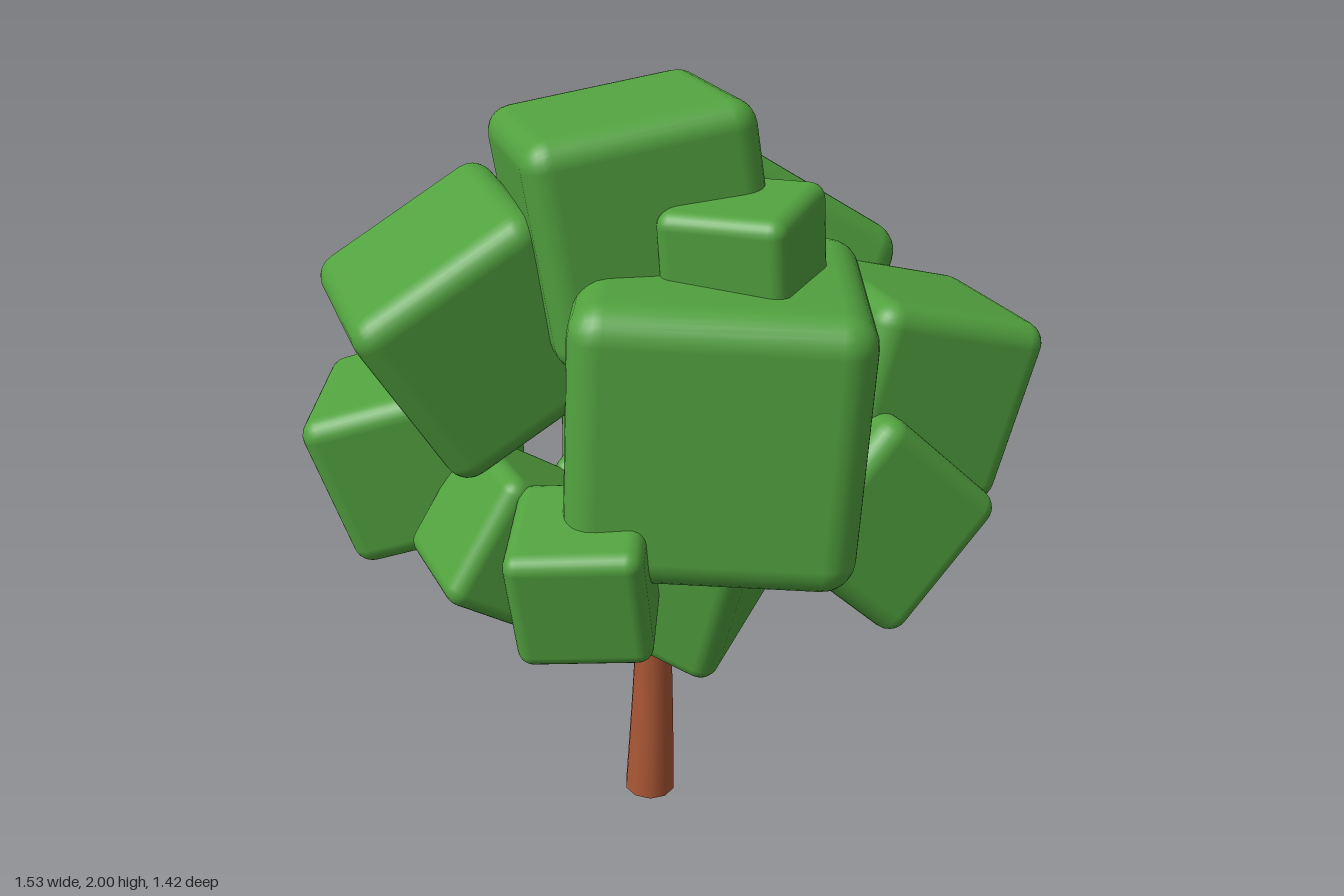
import * as THREE from 'three';
import { RoundedBoxGeometry } from 'three/addons/geometries/RoundedBoxGeometry.js';

const leafGreen = new THREE.MeshStandardMaterial({ color: 0x52a23f });
const barkBrown = new THREE.MeshStandardMaterial({ color: 0xad5836 });
const cutWood = new THREE.MeshStandardMaterial({ color: 0xb0a07c });
leafGreen.name = 'leafGreen';
barkBrown.name = 'barkBrown';
cutWood.name = 'cutWood';

// Rounded leaf cube, turned by yaw, then tilted by pitch and roll
function leafCube(name, size, x, y, z, yaw, pitch, roll) {
  const mesh = new THREE.Mesh(new RoundedBoxGeometry(size, size, size, 3, size * 0.12), leafGreen);
  mesh.name = name;
  mesh.position.set(x, y, z);
  mesh.rotation.set(pitch, yaw, roll, 'YXZ');
  return mesh;
}

// Tube along a path, tapering from one radius to another
function limb(name, points, startRadius, endRadius, steps = 10, sides = 10) {
  const curve = new THREE.CatmullRomCurve3(points.map((p) => new THREE.Vector3(...p)));
  const geo = new THREE.TubeGeometry(curve, steps, 1, sides);
  const pos = geo.attributes.position;
  const p = new THREE.Vector3();
  for (let i = 0; i <= steps; i++) {
    const c = curve.getPointAt(i / steps);
    const r = THREE.MathUtils.lerp(startRadius, endRadius, i / steps);
    for (let j = 0; j <= sides; j++) {
      const n = i * (sides + 1) + j;
      p.fromBufferAttribute(pos, n).sub(c).multiplyScalar(r).add(c);
      pos.setXYZ(n, p.x, Math.max(0, p.y), p.z);
    }
  }
  const mesh = new THREE.Mesh(geo, barkBrown);
  mesh.name = name;
  return mesh;
}

export function createModel() {
  const tree = new THREE.Group();
  tree.name = 'tree';

  // Trunk, its underside and two curved branches
  tree.add(limb('trunk',
    [[-0.027, 0, -0.012], [-0.014, 0.3, -0.016], [-0.013, 0.5, -0.014], [-0.03, 0.85, -0.01]], 0.071, 0.036));
  const base = new THREE.Mesh(new THREE.CircleGeometry(0.071, 10), cutWood);
  base.name = 'trunkUnderside';
  base.rotation.x = Math.PI / 2;
  base.position.set(-0.027, 0, -0.012);
  tree.add(base);
  tree.add(limb('rightBranch',
    [[-0.02, 0.6, -0.01], [0.06, 0.61, -0.01], [0.15, 0.66, -0.01], [0.23, 0.76, -0.01]], 0.034, 0.026));
  tree.add(limb('leftBranch',
    [[-0.02, 0.6, -0.01], [-0.1, 0.615, -0.015], [-0.2, 0.66, -0.02], [-0.28, 0.73, -0.03]], 0.034, 0.024));

  // Canopy cubes: name, size, centre x y z, yaw, pitch, roll
  const canopy = new THREE.Group();
  canopy.name = 'canopy';
  const cubes = [
    ['topLeaves', 0.53, -0.075, 1.695, -0.012, -0.38, -0.07, 0.14],
    ['frontLeaves', 0.66, -0.04, 1.305, 0.265, -0.68, -0.03, -0.04],
    ['rightBackLeaves', 0.65, 0.24, 1.36, -0.13, -0.12, -0.4, -0.62],
    ['leftBackLeaves', 0.49, -0.405, 1.455, -0.21, -0.28, 0.03, 0.52],
    ['rightFrontLeaves', 0.46, 0.45, 1.28, 0.372, -0.3, -0.03, -0.27],
    ['lowerFrontLeaves', 0.41, 0.26, 1.03, 0.45, -0.28, -0.09, -0.76],
    ['smallLeftLeaves', 0.31, -0.43, 1.0, 0.285, -0.72, 0.15, 0.08],
    ['lowerBackLeftLeaves', 0.42, -0.46, 1.06, -0.42, 0.88, -0.29, 0.05],
    ['smallBackLeaves', 0.29, -0.33, 1.27, -0.44, -0.62, -0.06, -0.1],
    ['lowerRightLeaves', 0.37, 0.49, 1.05, 0.01, 0.05, -0.02, -0.18],
    ['lowerBackRightLeaves', 0.42, 0.21, 0.98, -0.325, -0.29, -0.54, -0.18],
    ['bottomFrontLeaves', 0.4, -0.1, 0.91, 0.22, 0.52, 0.27, 0.18],
    ['lowerLeftLeaves', 0.34, -0.42, 0.95, -0.03, -0.22, -0.03, -0.59],
    ['bottomBackLeaves', 0.27, -0.06, 0.91, -0.11, 0.64, 0.08, 0],
    ['bottomRightLeaves', 0.28, 0.28, 0.89, 0.04, -0.52, 0.19, 0.21],
    ['smallTopLeaves', 0.3, 0.005, 1.655, 0.3, 0.5, -0.05, 0.06],
  ];
  for (const cube of cubes) canopy.add(leafCube(...cube));
  tree.add(canopy);
  return tree;
}
